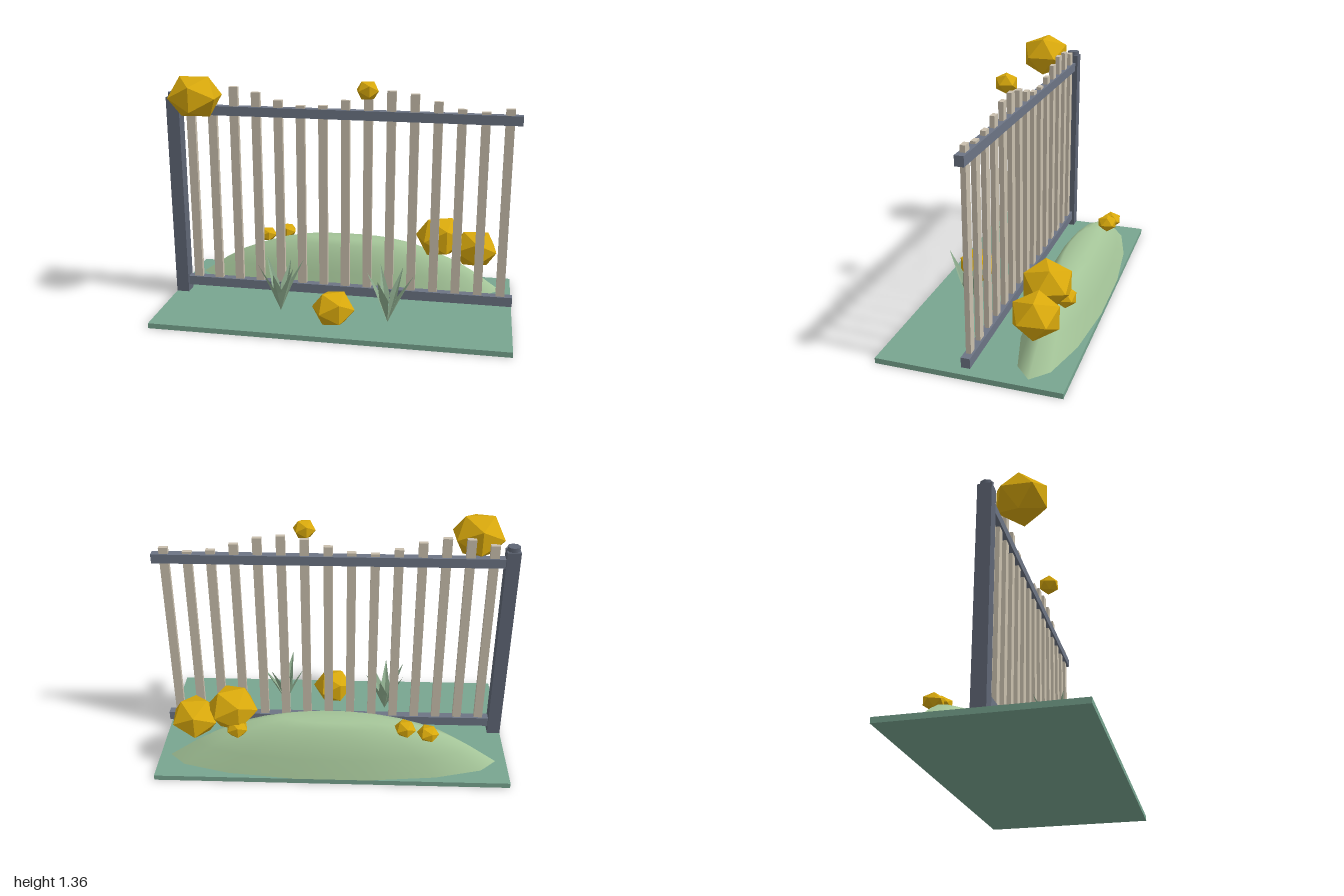
import * as THREE from 'three';

const mat = (name, color, extra = {}) => {
  const m = new THREE.MeshStandardMaterial({ color, ...extra });
  m.name = name;
  return m;
};

export function createModel() {
  const group = new THREE.Group();
  const ground = mat('ground green', 0x78a590);
  const moss = mat('moss green', 0xa4c498);
  const slate = mat('slate', 0x6c7484);
  const darkSlate = mat('dark slate', 0x5f6675);
  const wood = mat('pale wood', 0xc9bfad);
  const gold = mat('gold', 0xd9a90c, { flatShading: true });
  const leafGreen = mat('leaf green', 0x8fae8f, { flatShading: true, side: THREE.DoubleSide });

  const add = (name, geometry, material, x = 0, y = 0, z = 0) => {
    const mesh = new THREE.Mesh(geometry, material);
    mesh.name = name;
    mesh.position.set(x, y, z);
    group.add(mesh);
    return mesh;
  };
  // box given by centre x, bottom, top and centred on z = 0
  const box = (name, material, w, d, x, y0, y1) =>
    add(name, new THREE.BoxGeometry(w, y1 - y0, d), material, x, (y0 + y1) / 2, 0);

  // ground slab
  box('groundSlab', ground, 2, 1, 0, 0, 0.03);

  // corner post with a small cap
  box('post', darkSlate, 0.075, 0.075, -0.9625, 0.03, 1.222);
  add('postCap', new THREE.CylinderGeometry(0.036, 0.036, 0.025, 8), darkSlate, -0.9625, 1.234, 0);

  // two rails
  box('lowerRail', slate, 1.925, 0.048, 0.0375, 0.072, 0.127);
  box('upperRail', slate, 1.925, 0.048, 0.0375, 1.124, 1.177);

  // pickets with tops following a wave
  for (let i = 0; i < 15; i++) {
    const top = 1.24 + 0.05 * Math.cos(0.84 * (i - 9.1));
    box('picket', wood, 0.05, 0.027, -0.865 + i * 0.1283, 0.1, top);
  }

  // long oval mound with a flat top
  const profile = [[1, 0.03], [0.83, 0.14], [0.72, 0.2], [0.59, 0.25], [0.45, 0.293], [0.3, 0.32], [0, 0.32]]
    .map(([r, y]) => new THREE.Vector2(r, y));
  const mound = new THREE.LatheGeometry(profile, 14, Math.PI / 2);
  mound.scale(0.94, 1, 0.2);
  add('mound', mound, moss, 0, 0, -0.305);

  // faceted golden shrubs: x, y, z, radius, height scale, turn
  const shrubs = [
    [-0.79, 1.25, 0.135, 0.155, 0.84, 0.05],
    [0.165, 1.3, 0.067, 0.065, 0.88, 0.3],
    [0.018, 0.118, 0.312, 0.122, 0.88, 0.5],
    [0.563, 0.362, -0.288, 0.147, 0.9, 0.4],
    [0.778, 0.297, -0.293, 0.14, 0.87, 0.1],
    [0.53, 0.285, -0.377, 0.064, 0.9, 0.2],
    [-0.535, 0.28, -0.383, 0.062, 0.75, 0.4],
    [-0.407, 0.31, -0.383, 0.062, 0.8, 0.2],
  ];
  for (const [x, y, z, r, sy, turn] of shrubs) {
    const shrub = add('shrub', new THREE.IcosahedronGeometry(r, 0), gold, x, y, z);
    shrub.scale.y = sy;
    shrub.rotation.y = turn;
  }

  // keeled blade leaning towards +x: base, two mid corners, keel, tip
  const blade = new THREE.BufferGeometry();
  blade.setAttribute('position', new THREE.Float32BufferAttribute([
    0, 0, 0, 0.052, 0.15, 0.027, 0.052, 0.15, -0.027, 0.064, 0.142, 0, 0.14, 0.295, 0,
  ], 3));
  blade.setIndex([0, 3, 1, 0, 2, 3, 1, 3, 4, 3, 2, 4]);
  const bladeGeometry = blade.toNonIndexed();
  bladeGeometry.computeVertexNormals();

  // spiky plants, blades at angles in degrees from +x towards +z
  const plants = [
    [-0.31, 0.2, [-136, -73, -28, 40, 92, 150]],
    [0.315, 0.25, [108, 195, 245, 305, 350]],
  ];
  for (const [x, z, angles] of plants) {
    const plant = new THREE.Group();
    plant.name = 'spikyPlant';
    plant.position.set(x, 0.03, z);
    angles.forEach((a, i) => {
      const leaf = new THREE.Mesh(bladeGeometry, leafGreen);
      leaf.name = 'leaf';
      leaf.rotation.y = -THREE.MathUtils.degToRad(a);
      leaf.scale.set(i % 2 ? 0.9 : 1, i % 3 === 1 ? 0.93 : 1, 1);
      plant.add(leaf);
    });
    group.add(plant);
  }

  return group;
}
